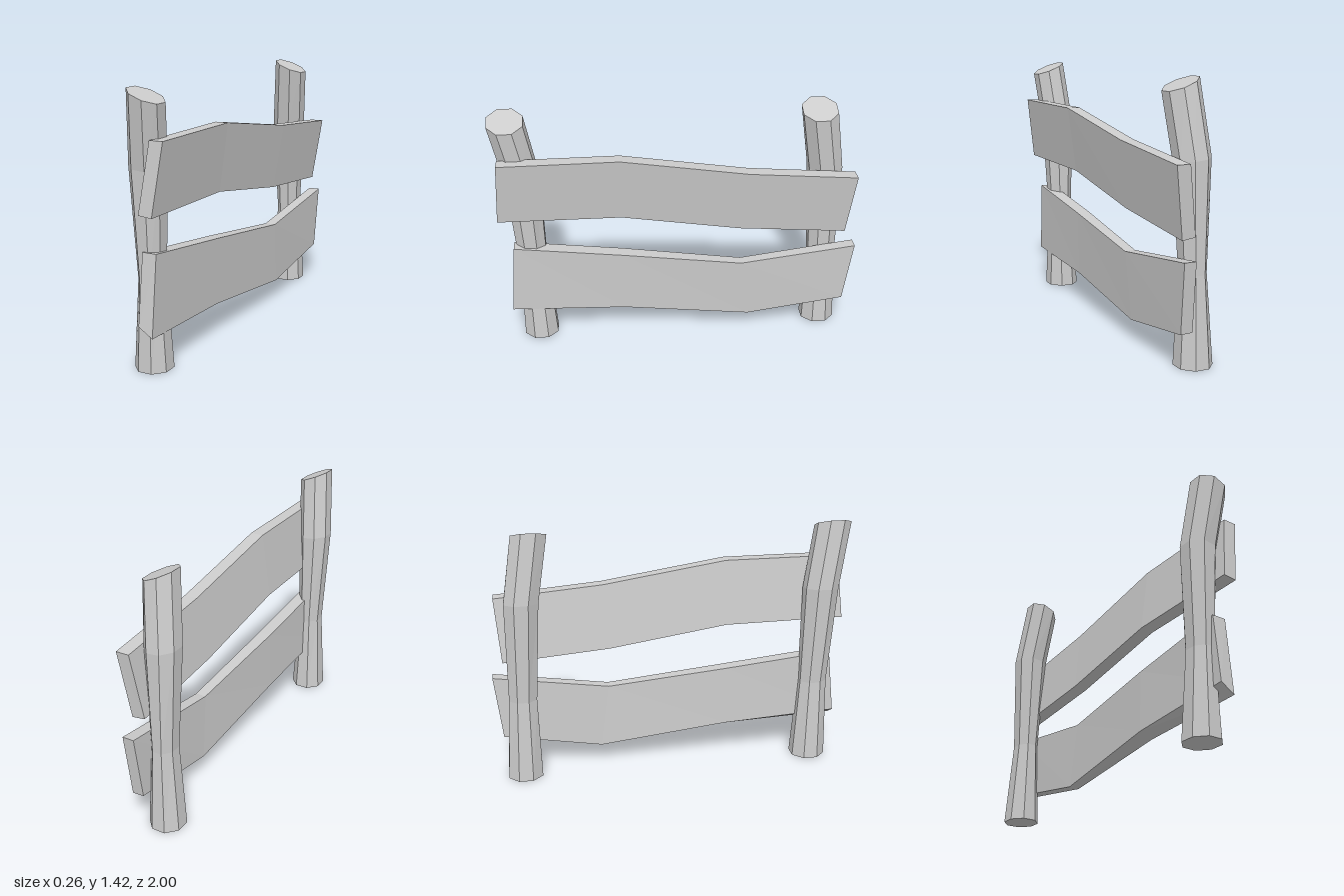
import * as THREE from 'three';

const material = new THREE.MeshStandardMaterial({ color: 0xcccccc, flatShading: true });

// Post rings from the ground up: height, centre x, z shift, radius in x, radius in z, tilt of the ring
const POST_RINGS = [
  { y: 0, x: -0.042, z: 0, rx: 0.099, rz: 0.104, tilt: 0 },
  { y: 0.47, x: -0.038, z: 0.01, rx: 0.068, rz: 0.083, tilt: 0 },
  { y: 1.03, x: -0.038, z: 0.03, rx: 0.094, rz: 0.1, tilt: -0.1 },
  { y: 1.385, x: -0.004, z: 0.09, rx: 0.09, rz: 0.102, tilt: -0.41 },
];

// Crooked octagonal post: a unit cylinder whose rings are moved and scaled
function createPost(name, z) {
  const geometry = new THREE.CylinderGeometry(1, 1, 1, 8, 3, false, Math.PI / 8);
  const p = geometry.attributes.position;
  for (let i = 0; i < p.count; i++) {
    const ring = POST_RINGS[Math.round((p.getY(i) + 0.5) * 3)];
    const dx = p.getX(i) * ring.rx;
    p.setXYZ(i, ring.x + dx, ring.y + dx * ring.tilt, z + ring.z + p.getZ(i) * ring.rz);
  }
  geometry.computeVertexNormals();
  const mesh = new THREE.Mesh(geometry, material);
  mesh.name = name;
  return mesh;
}

// Bent plank lofted through four-cornered sections running from front to back.
// Section: top z, y, outer x; bottom z, y, outer x; thickness; rise of the inner bottom edge
function createPlank(name, sections) {
  const positions = [];
  const index = [];
  for (const [zt, yt, xt, zb, yb, xb, thick, rise] of sections) {
    positions.push(xt, yt, zt, xb, yb, zb, xb - thick, yb + rise, zb, xt - thick, yt, zt);
  }
  for (let s = 0; s < sections.length - 1; s++) {
    for (let k = 0; k < 4; k++) {
      const a = s * 4 + k;
      const b = s * 4 + ((k + 1) % 4);
      index.push(a, b, b + 4, a, b + 4, a + 4);
    }
  }
  const e = (sections.length - 1) * 4;
  index.push(0, 2, 1, 0, 3, 2, e, e + 1, e + 2, e, e + 2, e + 3);
  const indexed = new THREE.BufferGeometry();
  indexed.setAttribute('position', new THREE.Float32BufferAttribute(positions, 3));
  indexed.setIndex(index);
  const geometry = indexed.toNonIndexed();
  geometry.computeVertexNormals();
  const mesh = new THREE.Mesh(geometry, material);
  mesh.name = name;
  return mesh;
}

export function createModel() {
  const group = new THREE.Group();
  group.name = 'fence';

  group.add(createPost('frontPost', 0.817), createPost('backPost', -0.845));

  group.add(createPlank('upperPlank', [
    [0.965, 1.185, 0.118, 0.995, 0.822, 0.068, 0.073, 0.008],
    [0.32, 1.185, 0.118, 0.32, 0.815, 0.068, 0.073, 0.008],
    [-0.37, 1.078, 0.124, -0.34, 0.71, 0.075, 0.073, 0.01],
    [-0.965, 1.028, 0.13, -0.935, 0.66, 0.08, 0.073, 0.01],
  ]));

  group.add(createPlank('lowerPlank', [
    [0.925, 0.63, 0.046, 0.965, 0.212, 0.04, 0.077, 0.05],
    [0.32, 0.56, 0.06, 0.32, 0.19, 0.05, 0.075, 0.03],
    [-0.35, 0.48, 0.085, -0.4, 0.115, 0.073, 0.06, 0.003],
    [-0.997, 0.57, 0.102, -0.955, 0.205, 0.093, 0.065, 0.003],
  ]));

  return group;
}
